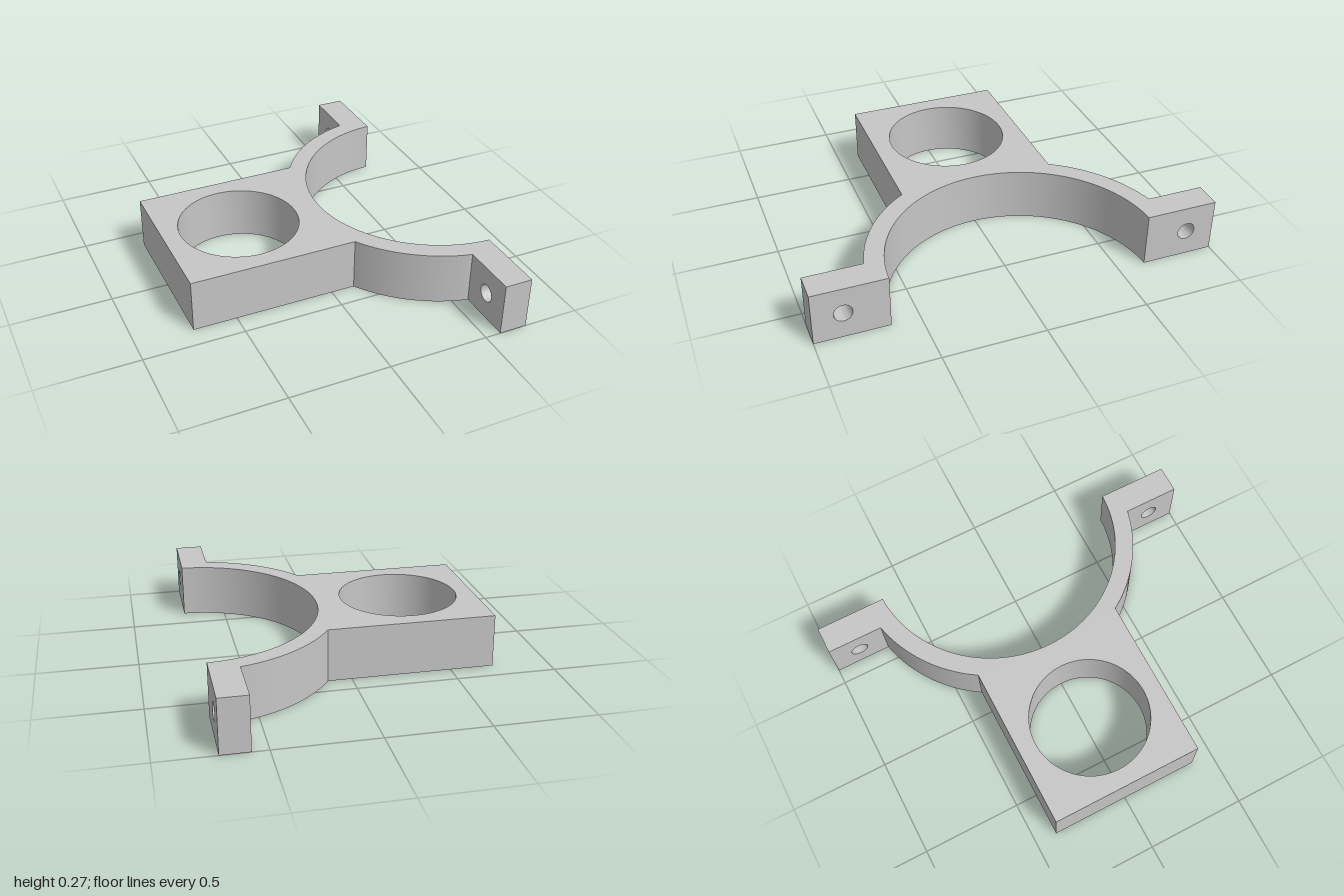
import * as THREE from 'three';
import { toCreasedNormals } from 'three/addons/utils/BufferGeometryUtils.js';

const H = 0.267;                      // plate thickness
const X0 = -0.718, X1 = 0.718;        // overall extent in x
const HALF = 0.39;                    // half width of the block
const CX = 0.74, R_IN = 0.64, R_OUT = 0.733; // cradle arc
const EAR_X = 0.578;                  // inner face of the ears
const EAR_Z = Math.sqrt(R_OUT ** 2 - (CX - EAR_X) ** 2);

export function createModel() {
  const group = new THREE.Group();
  const grey = new THREE.MeshStandardMaterial({ color: 0xc6c6c6 });
  grey.name = 'grey';

  const add = (name, geometry) => {
    const mesh = new THREE.Mesh(toCreasedNormals(geometry, 0.5), grey);
    mesh.name = name;
    group.add(mesh);
  };
  const circle = (x, y, r) => new THREE.Path().absarc(x, y, r, 0, Math.PI * 2, true);

  // Block and cradle: one outline drawn in x and z
  const a = Math.asin(HALF / R_OUT);
  const b = Math.acos((CX - EAR_X) / R_OUT);
  const c = Math.acos((CX - X1) / R_IN);
  const outline = new THREE.Shape();
  outline.moveTo(X0, HALF);
  outline.lineTo(X0, -HALF);
  outline.absarc(CX, 0, R_OUT, Math.PI + a, Math.PI + b, false);
  outline.lineTo(X1, -EAR_Z);
  outline.absarc(CX, 0, R_IN, Math.PI + c, Math.PI - c, true);
  outline.lineTo(X1, EAR_Z);
  outline.absarc(CX, 0, R_OUT, Math.PI - b, Math.PI - a, false);
  outline.closePath();
  outline.holes.push(circle(-0.33, 0, 0.3));
  const body = new THREE.ExtrudeGeometry(outline, { depth: H, bevelEnabled: false, curveSegments: 40 });
  body.rotateX(Math.PI / 2).translate(0, H, 0);
  add('clampBody', body);

  // Mounting ears with bolt holes running along x
  for (const side of [-1, 1]) {
    const mid = -side * (EAR_Z + 1) / 2, half = (1 - EAR_Z) / 2;
    const ear = new THREE.Shape([
      new THREE.Vector2(mid - half, 0), new THREE.Vector2(mid + half, 0),
      new THREE.Vector2(mid + half, H), new THREE.Vector2(mid - half, H),
    ]);
    ear.holes.push(circle(-side * 0.855, H / 2, 0.044));
    const geometry = new THREE.ExtrudeGeometry(ear, { depth: X1 - EAR_X, bevelEnabled: false, curveSegments: 16 });
    geometry.rotateY(Math.PI / 2).translate(EAR_X, 0, 0);
    add(side > 0 ? 'frontEar' : 'backEar', geometry);
  }
  return group;
}
